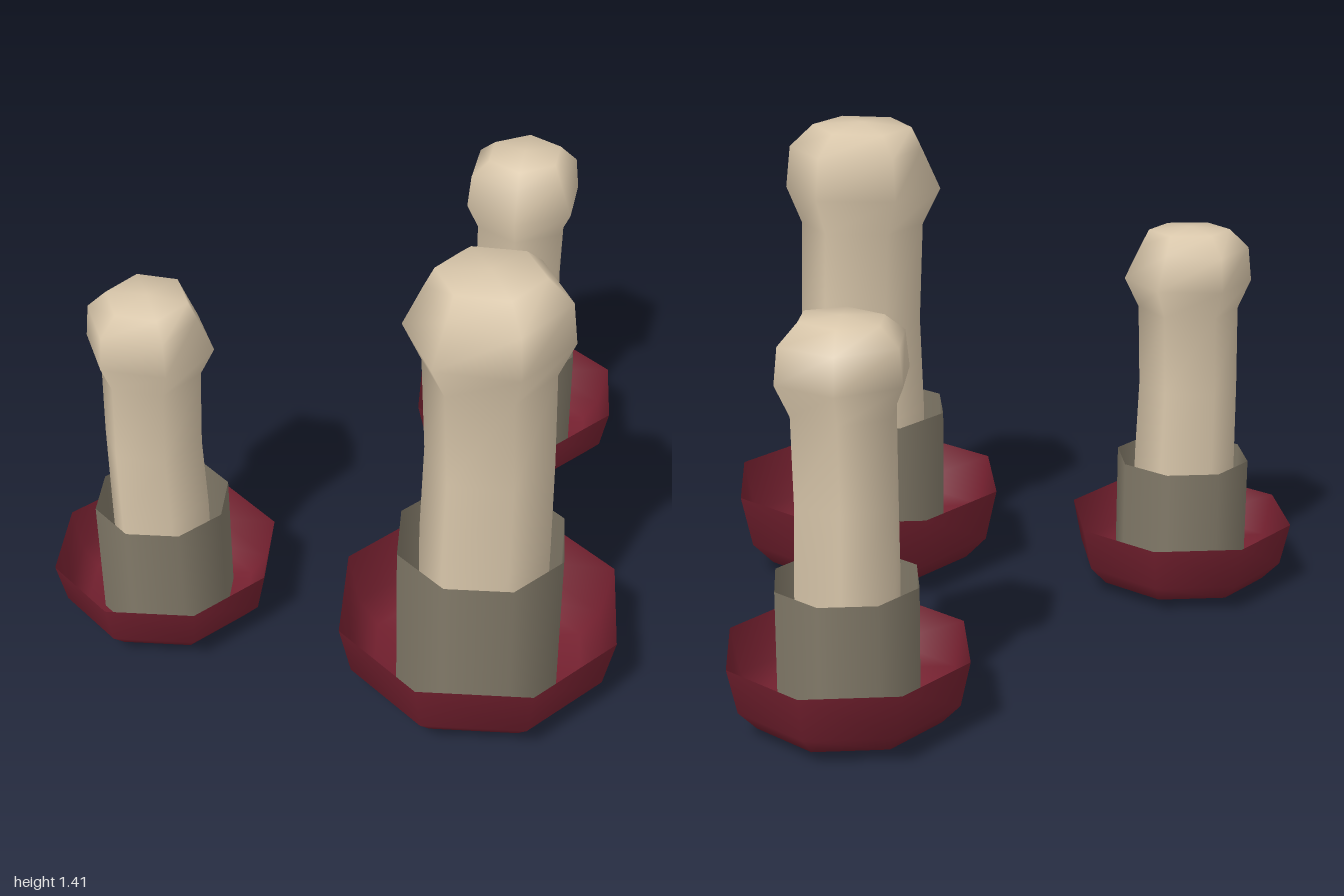
import * as THREE from 'three';

const wax = new THREE.MeshStandardMaterial({ color: 0xd9c7ab });
wax.name = 'wax';
const metal = new THREE.MeshStandardMaterial({ color: 0x817968, side: THREE.DoubleSide });
metal.name = 'dull metal';
const glaze = new THREE.MeshStandardMaterial({ color: 0x74202f, side: THREE.DoubleSide });
glaze.name = 'dark red glaze';

// Six-sided candle: rings of [height, radius, x offset, inward pull on the melted -x side]
function candleGeometry() {
  const rings = [
    [0.06, 0.19, 0.01, 0], [0.51, 0.19, 0.01, 0], [0.8, 0.184, 0.015, 0],
    [1.1, 0.186, 0.005, 0], [1.21, 0.236, 0, 0], [1.335, 0.222, 0, 0.22], [1.4, 0.15, 0, 0],
  ];
  const sides = 6, pos = [], index = [];
  for (const [y, r, cx, pull] of rings) {
    for (let i = 0; i < sides; i++) {
      const a = (i / sides) * Math.PI * 2;
      const k = r * (1 - pull * Math.max(0, -Math.sin(a)));
      const slope = y > 1.38 ? 0.006 * Math.cos(a) : 0;
      pos.push(cx + k * Math.sin(a), y + slope, k * Math.cos(a));
    }
  }
  for (let j = 0; j < rings.length - 1; j++) {
    for (let i = 0; i < sides; i++) {
      const n = (i + 1) % sides;
      const a = j * sides + i, b = j * sides + n, c = b + sides, d = a + sides;
      index.push(a, b, c, a, c, d);
    }
  }
  // Domed tip
  const last = (rings.length - 1) * sides, tip = pos.length / 3;
  pos.push(0, 1.412, 0);
  for (let i = 0; i < sides; i++) index.push(last + i, last + ((i + 1) % sides), tip);
  const g = new THREE.BufferGeometry();
  g.setAttribute('position', new THREE.Float32BufferAttribute(pos, 3));
  g.setIndex(index);
  g.computeVertexNormals();
  return g;
}

export function createModel() {
  const model = new THREE.Group();
  model.name = 'candles';

  // Open eight-sided bowl and the open collar standing in it
  const profile = [[0, 0], [0.13, 0], [0.33, 0.04], [0.395, 0.11], [0.43, 0.272]];
  const dishGeo = new THREE.LatheGeometry(profile.map(([x, y]) => new THREE.Vector2(x, y)), 8);
  const collarGeo = new THREE.CylinderGeometry(0.255, 0.255, 0.48, 8, 1, true);
  collarGeo.translate(0, 0.272, 0);
  const waxGeo = candleGeometry();

  // Name, x, z, scale, turn
  const places = [
    ['largeCandle', 0.142, 0.466, 1, 0],
    ['rightCandle', -0.655, -0.13, 0.8, Math.PI],
    ['leftCandle', 0.655, -0.56, 0.8, Math.PI / 2],
  ];
  for (const [name, x, z, s, turn] of places) {
    const group = new THREE.Group();
    group.name = name;
    for (const [part, geo, mat] of [['dish', dishGeo, glaze], ['collar', collarGeo, metal], ['candle', waxGeo, wax]]) {
      const mesh = new THREE.Mesh(geo, mat);
      mesh.name = part;
      group.add(mesh);
    }
    group.position.set(x, 0, z);
    group.rotation.y = turn;
    group.scale.setScalar(s);
    model.add(group);
  }
  return model;
}
